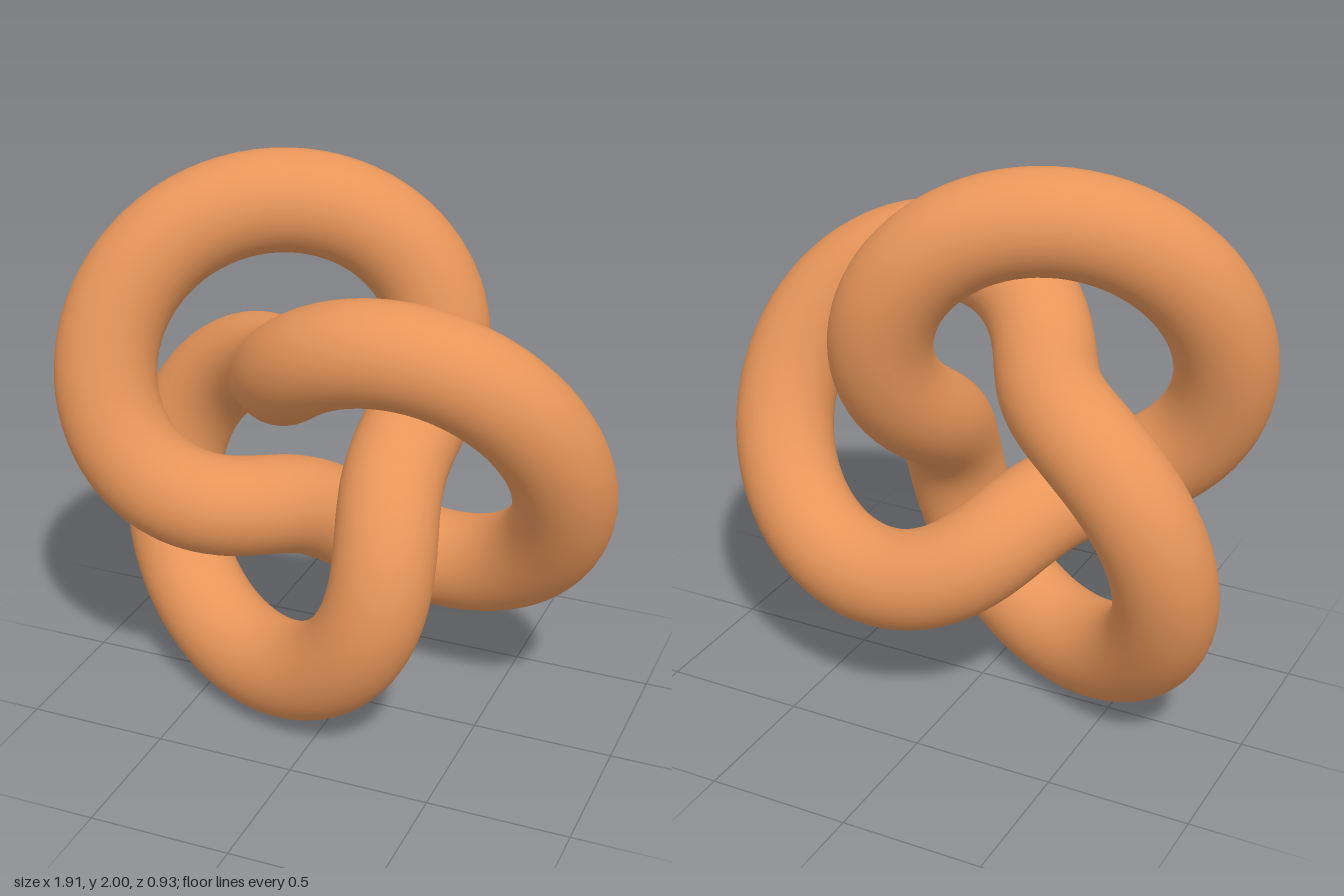
import * as THREE from 'three';

export function createModel() {
  const group = new THREE.Group();
  group.name = 'trefoilKnot';

  // One closed round tube, wound twice about the axis with three lobes
  const radius = 0.5834;
  const tube = 0.3 * radius;
  const geometry = new THREE.TorusKnotGeometry(radius, tube, 256, 40, 2, 3);

  // Centre the bounds in x and z and stand the knot on the floor
  geometry.center();
  geometry.computeBoundingBox();
  geometry.translate(0, -geometry.boundingBox.min.y, 0);

  const knot = new THREE.Mesh(geometry, new THREE.MeshStandardMaterial({ color: 0xe8965a }));
  knot.name = 'knotTube';
  group.add(knot);
  return group;
}
